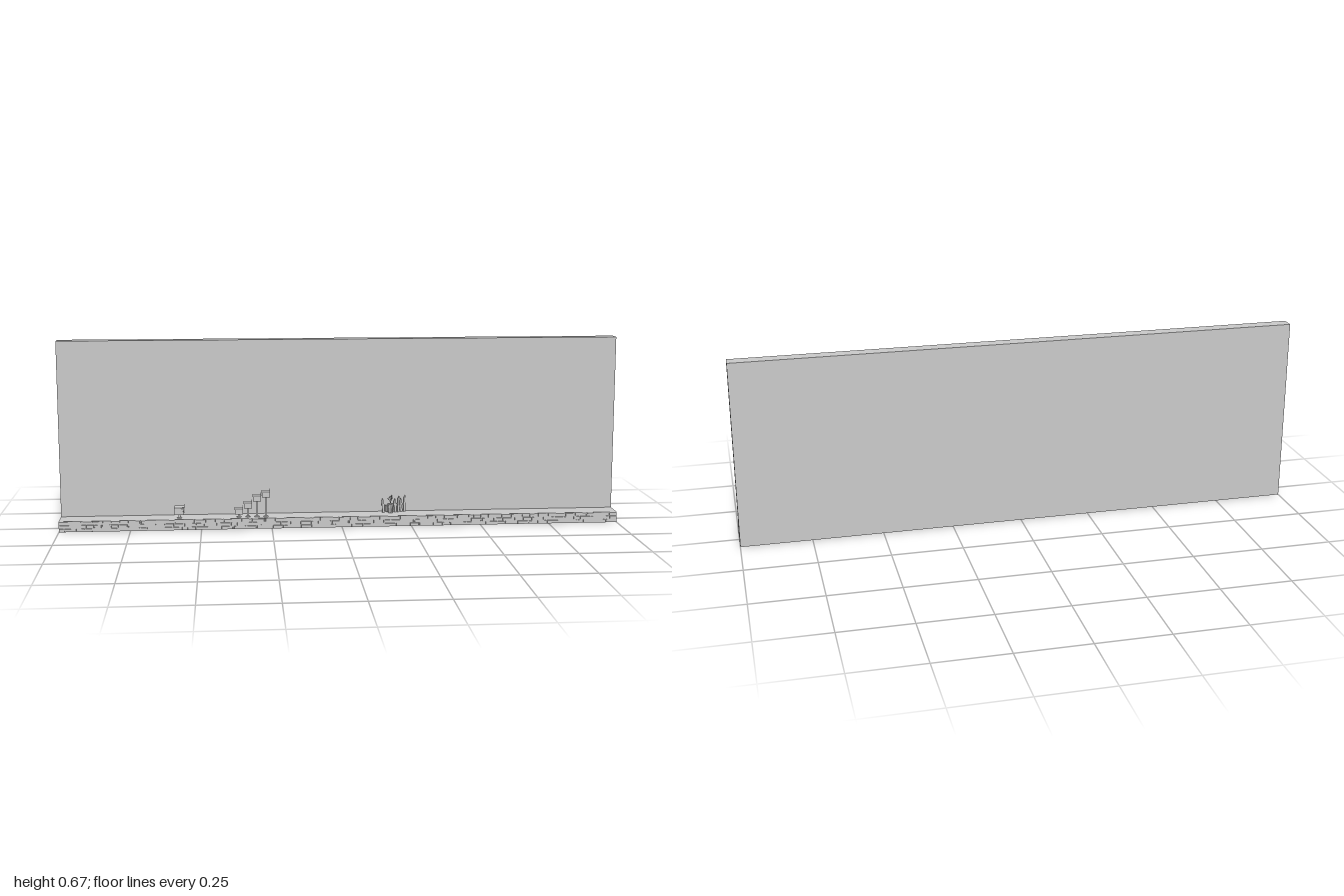
import * as THREE from 'three';

const material = new THREE.MeshStandardMaterial({ color: 0xcccccc, flatShading: true });
const GROUND = 0.038;

function add(parent, name, geometry, x, y, z) {
  const mesh = new THREE.Mesh(geometry, material);
  mesh.name = name;
  mesh.position.set(x, y, z);
  parent.add(mesh);
  return mesh;
}

const box = (parent, name, w, h, d, x, y, z) =>
  add(parent, name, new THREE.BoxGeometry(w, h, d), x, y, z);

function seeded(seed) {
  return () => (seed = (seed * 16807) % 2147483647) / 2147483647;
}

// Courses of irregular stones facing the ledge
function stoneFacing() {
  const group = new THREE.Group();
  group.name = 'stoneFacing';
  const rand = seeded(91);
  const courses = 3, h = GROUND / courses;
  for (let row = 0; row < courses; row++) {
    let x = -1;
    while (x < 0.999) {
      let w = 0.018 + rand() * 0.03;
      if (x + w > 0.985) w = 1 - x;
      const front = 0.0615 + rand() * 0.0035;
      const geo = new THREE.BoxGeometry(w - 0.001, h - 0.0008, front - 0.055);
      const p = geo.attributes.position;
      // Draw the front corners in to give a chipped, tapered face
      for (let i = 0; i < p.count; i++) {
        if (p.getZ(i) > 0) p.setXY(i, p.getX(i) * 0.88, p.getY(i) * 0.82);
      }
      geo.computeVertexNormals();
      add(group, 'stone', geo, x + w / 2, h * (row + 0.5), (front + 0.055) / 2);
      x += w;
    }
  }
  return group;
}

// Letter box on a post, with a door, lid and raised flag
function letterBox(x, z, bottom, height, width = 0.028, depth = 0.034) {
  const group = new THREE.Group();
  group.name = 'letterBox';
  group.position.set(x, 0, z);
  const top = bottom + height;
  box(group, 'post', 0.006, bottom - GROUND, 0.006, 0, (bottom + GROUND) / 2, 0);
  add(group, 'postFoot', new THREE.CylinderGeometry(0.007, 0.009, 0.003, 10), 0, GROUND + 0.0015, 0);
  box(group, 'body', width, height, depth - 0.002, 0, bottom + height / 2, -0.001);
  box(group, 'lid', width + 0.002, 0.003, depth, 0, top - 0.0015, 0);
  box(group, 'door', width - 0.005, height - 0.006, 0.002, 0, bottom + height / 2 - 0.001, depth / 2 - 0.001);
  box(group, 'flagStem', 0.0015, 0.014, 0.002, width / 2 + 0.0005, top, -depth / 4);
  box(group, 'flag', 0.0015, 0.005, 0.006, width / 2 + 0.0005, top + 0.004, -depth / 4);
  return group;
}

// Pointed fence board, standing on the ledge
function picket(x, z, height, turn, lean) {
  const w = 0.0045;
  const shape = new THREE.Shape();
  shape.moveTo(-w, 0);
  shape.lineTo(w, 0);
  shape.lineTo(w, height - 0.009);
  shape.lineTo(0, height);
  shape.lineTo(-w, height - 0.009);
  const geo = new THREE.ExtrudeGeometry(shape, { depth: 0.003, bevelEnabled: false });
  const mesh = new THREE.Mesh(geo, material);
  mesh.name = 'picket';
  mesh.position.set(x, GROUND, z);
  mesh.rotation.set(0, turn, lean);
  return mesh;
}

// Tapered pot with thin upright stems
function pottedPlant(x, z) {
  const group = new THREE.Group();
  group.name = 'pottedPlant';
  group.position.set(x, GROUND, z);
  add(group, 'pot', new THREE.CylinderGeometry(0.011, 0.007, 0.03, 10), 0, 0.015, 0);
  add(group, 'potRim', new THREE.CylinderGeometry(0.012, 0.012, 0.005, 10), 0, 0.0315, 0);
  for (let i = 0; i < 6; i++) {
    const a = (i / 6) * Math.PI * 2, r = i % 2 ? 0.009 : 0.005;
    const curve = new THREE.QuadraticBezierCurve3(
      new THREE.Vector3(0, 0.03, 0),
      new THREE.Vector3(0, 0.043, 0),
      new THREE.Vector3(Math.cos(a) * r, 0.052 + (i % 3) * 0.004, Math.sin(a) * r));
    add(group, 'stem', new THREE.TubeGeometry(curve, 4, 0.001, 4), 0, 0, 0);
    const leaf = add(group, 'leaf', new THREE.OctahedronGeometry(0.003), curve.v2.x, curve.v2.y, curve.v2.z);
    leaf.scale.set(0.7, 1.5, 0.7);
  }
  return group;
}

export function createModel() {
  const model = new THREE.Group();

  // Wall and ledge
  box(model, 'wall', 2, 0.667, 0.047, 0, 0.3335, -0.0415);
  box(model, 'ledge', 2, GROUND, 0.079, 0, GROUND / 2, 0.0215);
  model.add(stoneFacing());

  // One box alone, then four rising in steps
  model.add(letterBox(-0.578, 0.033, 0.053, 0.026, 0.033, 0.038));
  [0.05, 0.071, 0.096, 0.11].forEach((bottom, i) =>
    model.add(letterBox(-0.367 + i * 0.032, 0.034, bottom, 0.021)));

  // Cluster of pot, crate and leaning pickets
  const cluster = new THREE.Group();
  cluster.name = 'gardenCluster';
  cluster.add(pottedPlant(0.18, 0.009));
  box(cluster, 'crate', 0.026, 0.022, 0.022, 0.178, GROUND + 0.013, -0.004).rotation.y = 0.3;
  cluster.add(picket(0.155, 0.0, 0.052, 0.3, 0.08));
  for (let i = 0; i < 4; i++) {
    cluster.add(picket(0.198 + i * 0.011, -0.003 - i * 0.003, 0.05 + (i % 2) * 0.009, 0.45, i % 2 ? -0.06 : 0.05));
  }
  const rail = box(cluster, 'rail', 0.045, 0.005, 0.003, 0.214, GROUND + 0.028, -0.01);
  rail.rotation.y = 0.25;
  model.add(cluster);

  return model;
}
